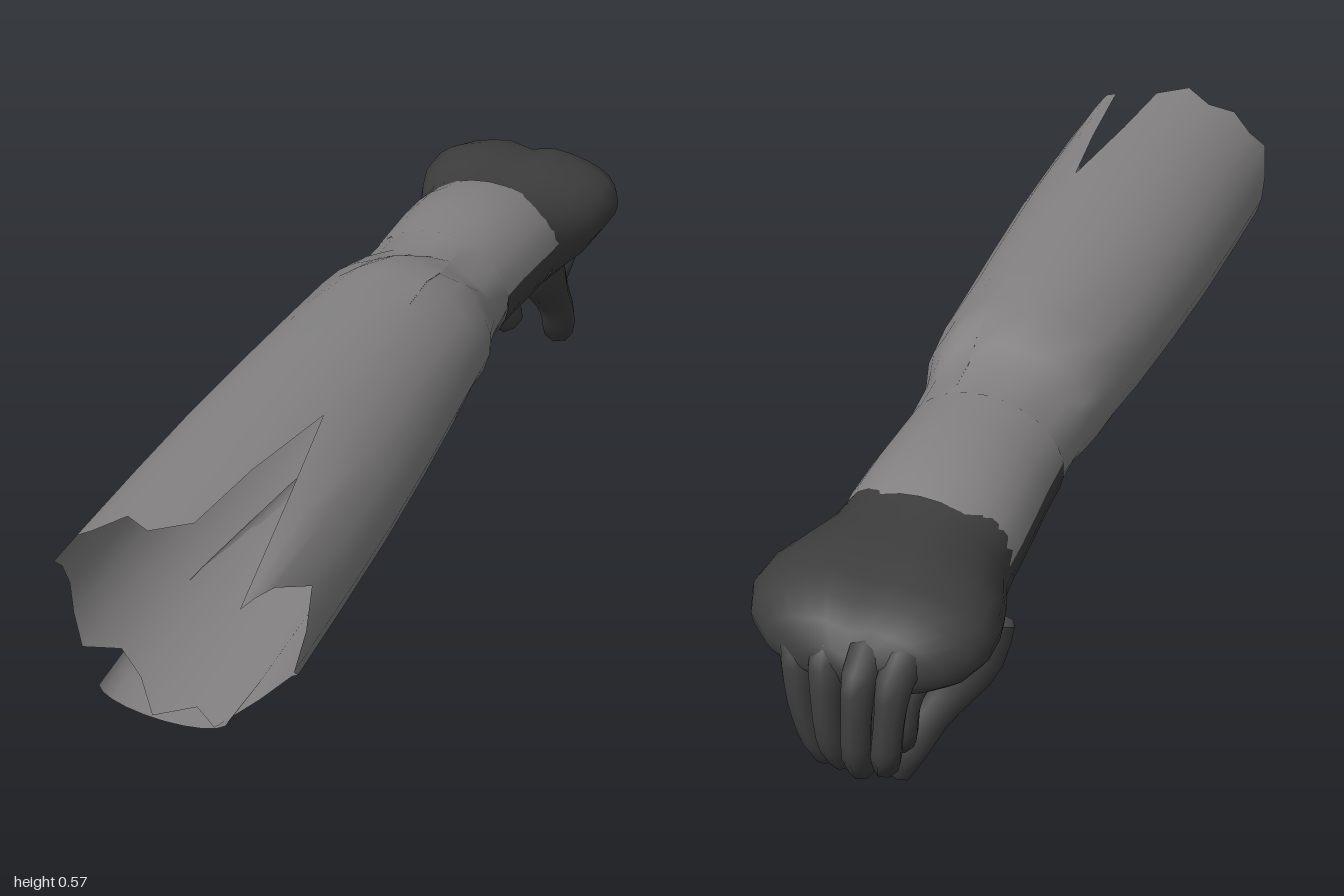
import * as THREE from 'three';
import { mergeVertices } from 'three/addons/utils/BufferGeometryUtils.js';

const cloth = new THREE.MeshStandardMaterial({ color: 0x848282, side: THREE.DoubleSide });
cloth.name = 'grey cloth';
const glove = new THREE.MeshStandardMaterial({ color: 0x3e3e3e, side: THREE.DoubleSide });
glove.name = 'dark glove';

// Skin a grid of points: point(ring, column) returns [x, y, z]; rings run towards -z
function skin(name, material, rings, cols, point) {
  const pos = [], index = [];
  for (let i = 0; i < rings; i++) {
    for (let j = 0; j <= cols; j++) pos.push(...point(i, j));
  }
  for (let i = 0; i < rings - 1; i++) {
    for (let j = 0; j < cols; j++) {
      const a = i * (cols + 1) + j, b = a + cols + 1;
      index.push(a, b, a + 1, a + 1, b, b + 1);
    }
  }
  let geo = new THREE.BufferGeometry();
  geo.setAttribute('position', new THREE.Float32BufferAttribute(pos, 3));
  geo.setIndex(index);
  geo = mergeVertices(geo, 1e-5);
  geo.computeVertexNormals();
  const mesh = new THREE.Mesh(geo, material);
  mesh.name = name;
  return mesh;
}

// Point on an oval section [z, centreX, halfWidth, bottomY, topY]; power < 1 squares it off
function oval([z, cx, rx, y0, y1], a, power = 1) {
  const bend = v => Math.sign(v) * Math.abs(v) ** power;
  return [cx + rx * bend(Math.cos(a)), (y0 + y1) / 2 + (y1 - y0) / 2 * bend(Math.sin(a)), z];
}

function arc(name, material, sections, from, to, cols, power) {
  return skin(name, material, sections.length, cols,
    (i, j) => oval(sections[i], from + (to - from) * j / cols, power));
}

// Tapered, round-tipped digit along a smooth path
function digit(name, points, r0, r1) {
  const curve = new THREE.CatmullRomCurve3(points.map(p => new THREE.Vector3(...p)));
  const n = 10, sides = 8;
  const frames = curve.computeFrenetFrames(n, false);
  return skin(name, glove, n + 1, sides, (i, j) => {
    const t = i === n - 1 ? 0.97 : i / n;
    const r = i === n ? 0 : (r0 + (r1 - r0) * t) * (1 + 0.08 * Math.sin(t * 9));
    const a = -j / sides * Math.PI * 2;
    return curve.getPointAt(t)
      .addScaledVector(frames.normals[i], r * Math.cos(a))
      .addScaledVector(frames.binormals[i], r * Math.sin(a)).toArray();
  });
}

export function createModel() {
  const group = new THREE.Group();
  const TAU = Math.PI * 2;

  // Forearm sleeve with a torn hem and a slit on top
  const sleeve = [
    [0.9, 0, 0.234, 0.172, 0.556], [0.72, 0, 0.232, 0.178, 0.557], [0.5, 0, 0.227, 0.185, 0.557],
    [0.3, 0, 0.216, 0.192, 0.555], [0.1, 0, 0.203, 0.205, 0.55], [-0.03, 0, 0.193, 0.217, 0.545],
    [-0.1, 0.003, 0.186, 0.222, 0.536], [-0.15, 0, 0.174, 0.226, 0.518],
    [-0.2, -0.003, 0.164, 0.232, 0.498], [-0.3, -0.006, 0.16, 0.235, 0.498]];
  const hem = [0.75, 0.9, 0.95, 0.91, 0.94, 0.92, 0.95, 0.9, 0.88, 0.9, 0.93, 0.87, 0.9,
    0.97, 0.92, 0.97, 0.9, 0.86, 0.9, 0.95, 0.9, 0.84, 0.92, 0.97, 1.0];
  const slitAngle = 1.17;
  group.add(skin('sleeve', cloth, sleeve.length, 24, (i, j) => {
    const section = sleeve[i].slice();
    if (i === 0) section[0] = hem[j];
    const open = Math.max(0, (section[0] - 0.5) / 0.5);
    let a = slitAngle + TAU * j / 24;
    if (j === 0) a += 0.4 * open;
    if (j === 24) a -= 0.36 * open;
    if (j === 23) a -= 0.2 * open;
    const p = oval(section, a);
    if (j === 24) p[1] -= 0.02 * open;
    // soft wrinkles near the wrist
    if (i > 4 && i < 9) p[1] += 0.006 * Math.sin(j * 2.1 + i * 1.7);
    return p;
  }));

  // Loose fold along the underside of the sleeve
  group.add(arc('sleeveFold', cloth, [
    [0.97, -0.01, 0.125, 0.168, 0.25], [0.85, -0.01, 0.13, 0.169, 0.25], [0.6, 0, 0.12, 0.175, 0.25],
    [0.3, 0.01, 0.09, 0.186, 0.25], [0.05, 0.02, 0.05, 0.205, 0.25], [-0.1, 0.02, 0.01, 0.225, 0.25]],
  Math.PI, TAU, 10));

  // Wrist: light cuff over the top, glove exposed at sides and below
  const wrist = [
    [-0.295, -0.006, 0.162, 0.226, 0.499], [-0.38, -0.005, 0.165, 0.222, 0.5],
    [-0.46, -0.004, 0.17, 0.217, 0.497], [-0.54, -0.003, 0.173, 0.212, 0.488],
    [-0.6, -0.003, 0.172, 0.215, 0.474]];
  const edge = 0.13;
  group.add(arc('cuff', cloth, wrist, edge, Math.PI - edge, 12));
  group.add(arc('gloveWrist', glove, wrist, Math.PI - edge, TAU + edge, 16));
  group.add(arc('gloveLining', glove, [
    [-0.28, -0.003, 0.142, 0.243, 0.482], [-0.6, -0.003, 0.15, 0.235, 0.46]], 0, TAU, 20));

  // Hand with a shallow crease down the middle of its back
  const hand = [
    [-0.57, -0.003, 0.17, 0.215, 0.474], [-0.63, 0, 0.178, 0.212, 0.466], [-0.7, 0, 0.204, 0.22, 0.471],
    [-0.76, 0.002, 0.222, 0.25, 0.468], [-0.82, 0.003, 0.226, 0.262, 0.46], [-0.87, 0.002, 0.206, 0.268, 0.446],
    [-0.91, 0, 0.165, 0.285, 0.42], [-0.94, -0.005, 0.1, 0.31, 0.385], [-0.95, -0.005, 0, 0.345, 0.345]];
  group.add(skin('hand', glove, hand.length, 28, (i, j) => {
    const p = oval(hand[i], TAU * j / 28, 0.9);
    if (j === 7 && i > 1 && i < 8) p[1] -= 0.014;
    return p;
  }));

  // Two thumbs hanging below the palm
  group.add(digit('rightThumb', [[-0.135, 0.27, -0.64], [-0.125, 0.2, -0.68], [-0.065, 0.1, -0.755], [-0.015, 0, -0.815]], 0.064, 0.036));
  group.add(digit('leftThumb', [[0.095, 0.28, -0.64], [0.105, 0.2, -0.69], [0.115, 0.1, -0.755], [0.103, 0, -0.815]], 0.06, 0.033));

  // Outer row of curled fingers: x, reach in z, tip height
  [[-0.085, -0.955, 0.13], [-0.03, -0.967, 0.12], [0.035, -0.945, 0.105], [0.092, -0.925, 0.085]]
    .forEach(([x, z, tip], k) => group.add(digit('finger' + (k + 1), [
      [x * 1.25, 0.38, -0.85], [x * 1.1, 0.355, z + 0.03], [x, 0.25, z],
      [x * 0.85, 0.16, z + 0.01], [x * 0.7, tip, z + 0.035]], 0.038, 0.024)));

  // Inner row tucked under the palm
  [-0.08, -0.01, 0.06].forEach((x, k) => group.add(digit('innerFinger' + (k + 1), [
    [x * 1.3, 0.31, -0.8], [x * 1.1, 0.27, -0.87], [x, 0.19, -0.885], [x * 0.8, 0.135, -0.86]], 0.036, 0.025)));

  return group;
}
